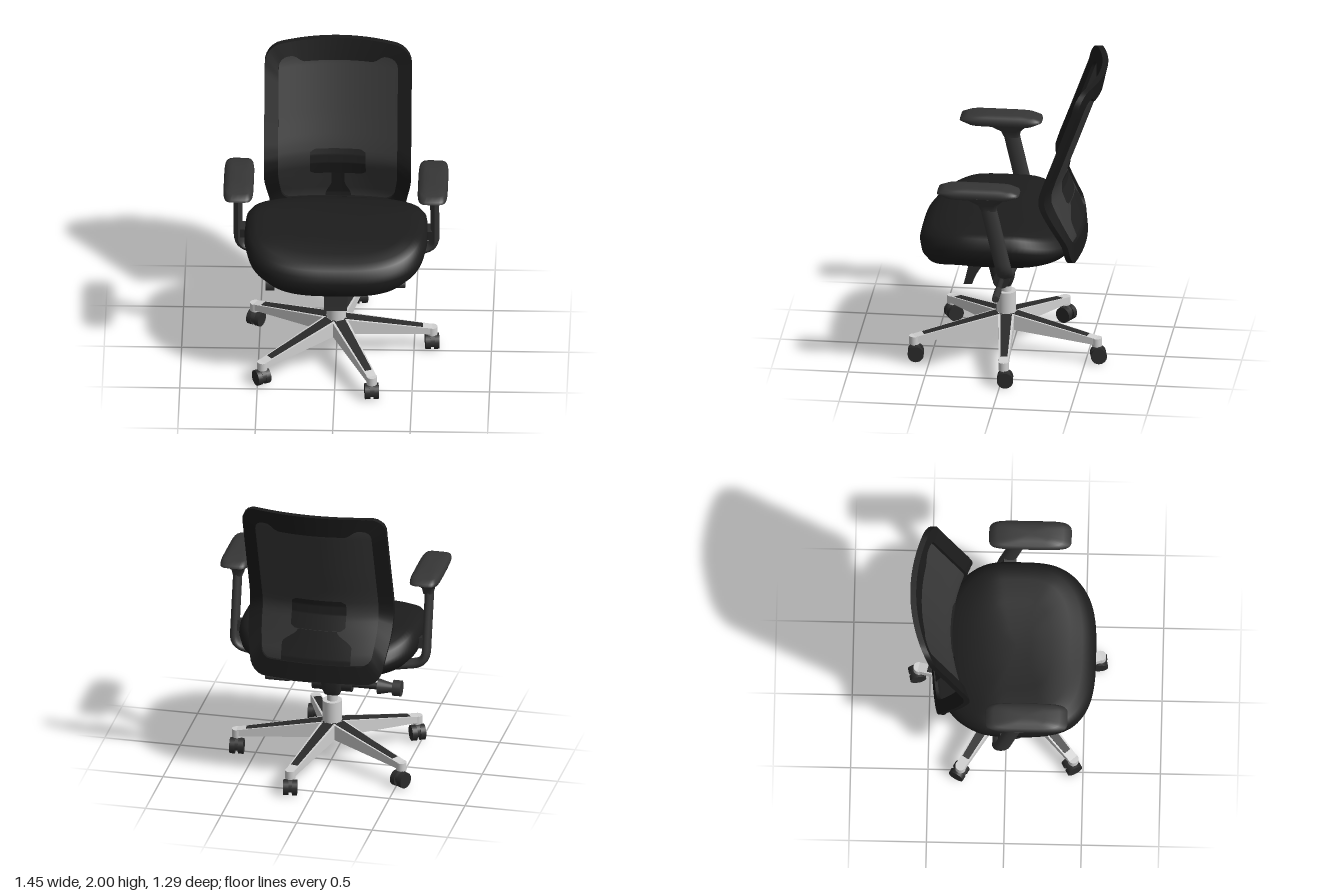
import * as THREE from 'three';
import { toCreasedNormals } from 'three/addons/utils/BufferGeometryUtils.js';

const material = (name, color, side = THREE.FrontSide) => {
  const m = new THREE.MeshStandardMaterial({ color, side });
  m.name = name;
  return m;
};
const { lerp, smoothstep, clamp } = THREE.MathUtils;

// Skin a series of equal-length point loops
function loft(rings, { caps = true, closed = false, crease = 0.7 } = {}) {
  const n = rings[0].length, pos = [], idx = [];
  rings.forEach(r => r.forEach(p => pos.push(p.x, p.y, p.z)));
  const last = closed ? rings.length : rings.length - 1;
  for (let i = 0; i < last; i++) for (let j = 0; j < n; j++) {
    const k = (j + 1) % n, i2 = (i + 1) % rings.length;
    const a = i * n + j, b = i * n + k, c = i2 * n + k, d = i2 * n + j;
    idx.push(a, d, b, b, d, c);
  }
  if (caps) [rings[0], rings[rings.length - 1]].forEach((r, e) => {
    const m = new THREE.Vector3();
    r.forEach(p => m.addScaledVector(p, 1 / n));
    const c = pos.length / 3, o = e ? (rings.length - 1) * n : 0;
    pos.push(m.x, m.y, m.z);
    for (let j = 0; j < n; j++) {
      const k = (j + 1) % n;
      idx.push(c, o + (e ? k : j), o + (e ? j : k));
    }
  });
  const g = new THREE.BufferGeometry();
  g.setAttribute('position', new THREE.Float32BufferAttribute(pos, 3));
  g.setIndex(idx);
  return toCreasedNormals(g, crease);
}

// Stack of superellipse sections, each [y, half width, half depth, centre z]
function stack(levels, power, warp = p => p, crease = 0.7, n = 48) {
  const f = v => Math.sign(v) * Math.abs(v) ** (2 / power);
  return loft(levels.map(([y, hx, hz, cz = 0]) => Array.from({ length: n }, (_, j) => {
    const t = (j / n) * Math.PI * 2;
    return warp(new THREE.Vector3(hx * f(Math.cos(t)), y, cz + hz * f(Math.sin(t))));
  })), { crease });
}

// Curved sheet that the whole backrest follows
const spine = [[0.77, -0.465], [0.92, -0.455], [1.1, -0.395], [1.2, -0.358], [1.26, -0.358],
  [1.34, -0.383], [1.5, -0.443], [1.86, -0.575], [2, -0.605]];
function onBack(x, y, off) {
  let i = 0;
  while (i < spine.length - 2 && y > spine[i + 1][0]) i++;
  const [y0, z0] = spine[i], [y1, z1] = spine[i + 1];
  const bow = lerp(0.05, 0.1, smoothstep(y, 0.8, 1.2)) * (x / 0.46) ** 2;
  return new THREE.Vector3(x, y, lerp(z0, z1, (y - y0) / (y1 - y0)) + bow + off);
}
const taper = y => lerp(0.9, 1, smoothstep(y, 0.75, 1.15));

function roundedOutline(w, y0, y1, r) {
  const s = new THREE.Shape(), h = Math.PI / 2;
  s.absarc(w - r, y1 - r, r, 0, h);
  s.absarc(-w + r, y1 - r, r, h, 2 * h);
  s.absarc(-w + r, y0 + r, r, 2 * h, 3 * h);
  s.absarc(w - r, y0 + r, r, 3 * h, 4 * h);
  s.closePath();
  return s.getSpacedPoints(140).slice(0, 140);
}

// Sheet lying on the backrest curve, rows from y0 to y1
function backSheet(halfWidth, y0, y1, off) {
  const g = new THREE.PlaneGeometry(2, 1, 16, 32), p = g.attributes.position;
  for (let i = 0; i < p.count; i++) {
    const y = lerp(y0, y1, p.getY(i) + 0.5);
    const v = onBack(p.getX(i) * halfWidth(y), y, off);
    p.setXYZ(i, v.x, v.y, v.z);
  }
  g.computeVertexNormals();
  return g;
}

export function createModel() {
  const chair = new THREE.Group();
  chair.name = 'officeChair';
  const fabric = material('seat fabric', 0x1d1d1d);
  const frameMat = material('back frame black', 0x1b1b1b);
  const meshMat = material('mesh grey', 0x383838, THREE.DoubleSide);
  const lumbarMat = material('lumbar black', 0x212121, THREE.DoubleSide);
  const plastic = material('grey plastic', 0x363636);
  const dark = material('dark plastic', 0x2b2b2b);
  const metal = material('polished metal', 0xd0d0d0);
  const add = (name, geo, mat, parent = chair, x = 0, y = 0, z = 0) => {
    const m = new THREE.Mesh(geo, mat);
    m.name = name;
    m.position.set(x, y, z);
    parent.add(m);
    return m;
  };
  const cyl = (r0, r1, h, n = 28) => new THREE.CylinderGeometry(r0, r1, h, n);

  // Seat cushion: soft stack with a drooping front and rear
  const seat = [[0.76, 0.4, 0.34], [0.762, 0.43, 0.4], [0.785, 0.52, 0.47], [0.84, 0.575, 0.5],
    [0.9, 0.592, 0.51], [0.94, 0.585, 0.5], [0.975, 0.56, 0.47], [0.992, 0.52, 0.42],
    [0.998, 0.45, 0.34], [0.995, 0.3, 0.22], [0.992, 0.12, 0.09]].map(l => [...l, 0.065]);
  add('seatCushion', stack(seat, 3, p => {
    const upper = smoothstep(p.y, 0.8, 0.95);
    p.y += 0.015 * upper * (p.x / 0.5) ** 2 - 0.06 * smoothstep(p.z, 0.25, 0.6)
      - 0.07 * upper * smoothstep(-p.z, 0.05, 0.45);
    p.x *= 1 - 0.06 * smoothstep(-p.z, 0.1, 0.45);
    return p;
  }, 3, 96), fabric);

  // Backrest frame: ring between outer and inner outlines
  const outer = roundedOutline(0.475, 0.77, 2, 0.1);
  const inner = roundedOutline(0.385, 0.89, 1.9, 0.06);
  outer.forEach(p => { p.y -= p.y > 1.8 ? 0.015 * (p.x / 0.47) ** 2 : 0; });
  inner.forEach(p => { if (p.y > 1.8) p.y -= 0.045 * (1 - smoothstep(Math.abs(p.x), 0.22, 0.3)); });
  const ring = (pts, off) => pts.map(p => onBack(p.x * taper(p.y), p.y, off));
  add('backFrame', loft([ring(outer, 0.018), ring(outer, -0.02), ring(inner, -0.02), ring(inner, 0.022)],
    { caps: false, closed: true }), frameMat);
  add('backMesh', backSheet(y => 0.41 * taper(y), 0.86, 1.92, 0), meshMat);

  // Lumbar pad and its stem, seen on both faces of the mesh
  const padWidth = y => 0.18 - 0.03 * Math.max(0, Math.abs(y - 1.2) - 0.08) / 0.02;
  const stemWidth = y => 0.042 + 0.04 * (1 - smoothstep(y, 0.9, 1.02));
  add('lumbarPadFront', backSheet(padWidth, 1.1, 1.3, 0.006), lumbarMat);
  add('lumbarStemFront', backSheet(stemWidth, 0.87, 1.1, 0.006), lumbarMat);
  add('lumbarPadRear', backSheet(padWidth, 1.1, 1.3, -0.008), lumbarMat);
  add('lumbarMountRear', backSheet(y => 0.23 - 0.1 * smoothstep(y, 1, 1.1), 0.86, 1.1, -0.012), lumbarMat);

  // Armrests
  for (const s of [1, -1]) {
    const arm = new THREE.Group();
    arm.name = s > 0 ? 'leftArmrest' : 'rightArmrest';
    chair.add(arm);
    const path = new THREE.CurvePath();
    const v = (x, y) => new THREE.Vector3(s * x, y, 0);
    path.add(new THREE.LineCurve3(v(0.15, 0.725), v(0.36, 0.722)));
    path.add(new THREE.LineCurve3(v(0.36, 0.722), v(0.56, 0.758)));
    path.add(new THREE.QuadraticBezierCurve3(v(0.56, 0.758), v(0.635, 0.775), v(0.635, 0.85)));
    path.add(new THREE.LineCurve3(v(0.635, 0.85), v(0.635, 1.28)));
    const tube = new THREE.TubeGeometry(path, 48, 0.029, 12), p = tube.attributes.position;
    for (let i = 0; i < p.count; i++)
      p.setZ(i, p.getZ(i) * 1.85 - 0.03 + 0.23 * clamp(p.getY(i) - 0.8, 0, 1));
    tube.computeVertexNormals();
    add('armSupport', tube, plastic, arm);
    const joint = add('armJoint', new THREE.BoxGeometry(0.05, 0.07, 0.08), dark, arm, s * 0.598, 0.9, 0);
    joint.rotation.x = 0.2;
    add('armBracket', stack([[1.23, 0.032, 0.05, 0.07], [1.27, 0.04, 0.065, 0.075], [1.3, 0.07, 0.1, 0.085],
      [1.335, 0.09, 0.15, 0.095]], 4), plastic, arm, s * 0.63);
    add('armPad', stack([[1.315, 0.065, 0.14], [1.325, 0.088, 0.21], [1.35, 0.097, 0.267], [1.366, 0.095, 0.262],
      [1.384, 0.085, 0.215], [1.393, 0.055, 0.12], [1.395, 0.02, 0.04]].map(l => [...l, 0.137]), 5,
    q => q, 1.2), plastic, arm, s * 0.627);
  }

  // Tilt mechanism under the seat
  add('mechanismPlate', stack([[0.66, 0.1, 0.1, 0.05], [0.69, 0.19, 0.15, 0.07], [0.73, 0.215, 0.18, 0.09],
    [0.79, 0.215, 0.2, 0.1]], 6), dark);
  add('mechanismNeck', stack([[0.46, 0.05, 0.05, 0.045], [0.5, 0.068, 0.07, 0.05], [0.58, 0.075, 0.085, 0.055],
    [0.68, 0.09, 0.1, 0.055]], 4), dark);
  add('seatPan', stack([[0.735, 0.26, 0.26, 0.06], [0.775, 0.36, 0.34, 0.06]], 5), frameMat);
  const paddle = new THREE.Shape();
  paddle.moveTo(-0.3, 0.475);
  paddle.lineTo(-0.245, 0.475);
  paddle.quadraticCurveTo(-0.21, 0.59, -0.13, 0.655);
  paddle.lineTo(-0.12, 0.69);
  paddle.lineTo(-0.25, 0.69);
  paddle.quadraticCurveTo(-0.275, 0.57, -0.3, 0.475);
  const paddleGeo = new THREE.ExtrudeGeometry(paddle, { depth: 0.15, bevelEnabled: false, curveSegments: 8 });
  paddleGeo.translate(0, 0, -0.075).rotateY(Math.PI / 2);
  add('tensionPaddle', paddleGeo, dark);

  // Cross axle, side lever and knob
  const axle = (name, r0, r1, x0, x1, mat) => {
    const m = add(name, cyl(r0, r1, x1 - x0, 20), mat, chair, (x0 + x1) / 2, 0.53, 0.05);
    m.rotation.z = -Math.PI / 2;
  };
  axle('crossAxle', 0.053, 0.053, -0.13, 0.13, dark);
  axle('leverRod', 0.018, 0.018, 0.13, 0.3, dark);
  axle('leverGrip', 0.023, 0.023, 0.29, 0.445, plastic);
  axle('knobRod', 0.022, 0.022, -0.32, -0.13, dark);
  axle('knob', 0.028, 0.052, -0.4, -0.3, plastic);
  chair.getObjectByName('knob').scale.x = -1;
  chair.getObjectByName('knob').rotation.z = Math.PI / 2;
  axle('knobEnd', 0.052, 0.052, -0.455, -0.4, plastic);

  // Gas column and hub
  add('columnSleeve', cyl(0.063, 0.063, 0.16, 36), metal, chair, 0, 0.335, 0.03);
  add('columnRod', cyl(0.034, 0.034, 0.1), metal, chair, 0, 0.44, 0.03);
  add('baseHub', cyl(0.07, 0.062, 0.105, 20), dark, chair, 0, 0.2175, 0.03);

  // Star base: tapered legs with a dark inlay on top, and casters
  const legGeo = (x0, x1, wide, lift, thick) => {
    const g = new THREE.BoxGeometry(1, 1, 1), p = g.attributes.position;
    for (let i = 0; i < p.count; i++) {
      const x = lerp(x0, x1, p.getX(i) + 0.5), t = x / 0.64;
      const top = lerp(0.28, 0.166, t) + lift, deep = thick || lerp(0.11, 0.04, t);
      p.setXYZ(i, x, p.getY(i) > 0 ? top : top - deep, p.getZ(i) * lerp(0.11, 0.06, t) * wide);
    }
    g.computeVertexNormals();
    return g;
  };
  const yaws = [0.1, 0.1, 0.5, -0.5, 0.2];
  for (let k = 0; k < 5; k++) {
    const a = THREE.MathUtils.degToRad(-5 + 72 * k);
    const leg = new THREE.Group();
    leg.name = 'baseLeg' + (k + 1);
    leg.position.z = 0.03;
    leg.rotation.y = -a;
    chair.add(leg);
    add('legBeam', legGeo(0.03, 0.63, 1, 0, 0), metal, leg);
    add('legInlay', legGeo(0.05, 0.56, 0.7, 0.003, 0.006), dark, leg);
    add('legTip', cyl(0.034, 0.034, 0.055, 20), metal, leg, 0.62, 0.142, 0);

    const caster = new THREE.Group();
    caster.name = 'caster' + (k + 1);
    caster.position.set(0.62 * Math.cos(a), 0, 0.03 + 0.62 * Math.sin(a));
    caster.rotation.y = yaws[k];
    chair.add(caster);
    add('casterStem', cyl(0.016, 0.016, 0.07, 12), metal, caster, 0, 0.11, 0);
    for (const s of [1, -1]) {
      const wheel = add('casterWheel', cyl(0.052, 0.052, 0.034, 24), dark, caster, s * 0.028, 0.052, -0.01);
      wheel.rotation.z = Math.PI / 2;
    }
    const core = add('casterHood', cyl(0.045, 0.045, 0.03, 20), plastic, caster, 0, 0.062, -0.005);
    core.rotation.z = Math.PI / 2;
  }
  return chair;
}
